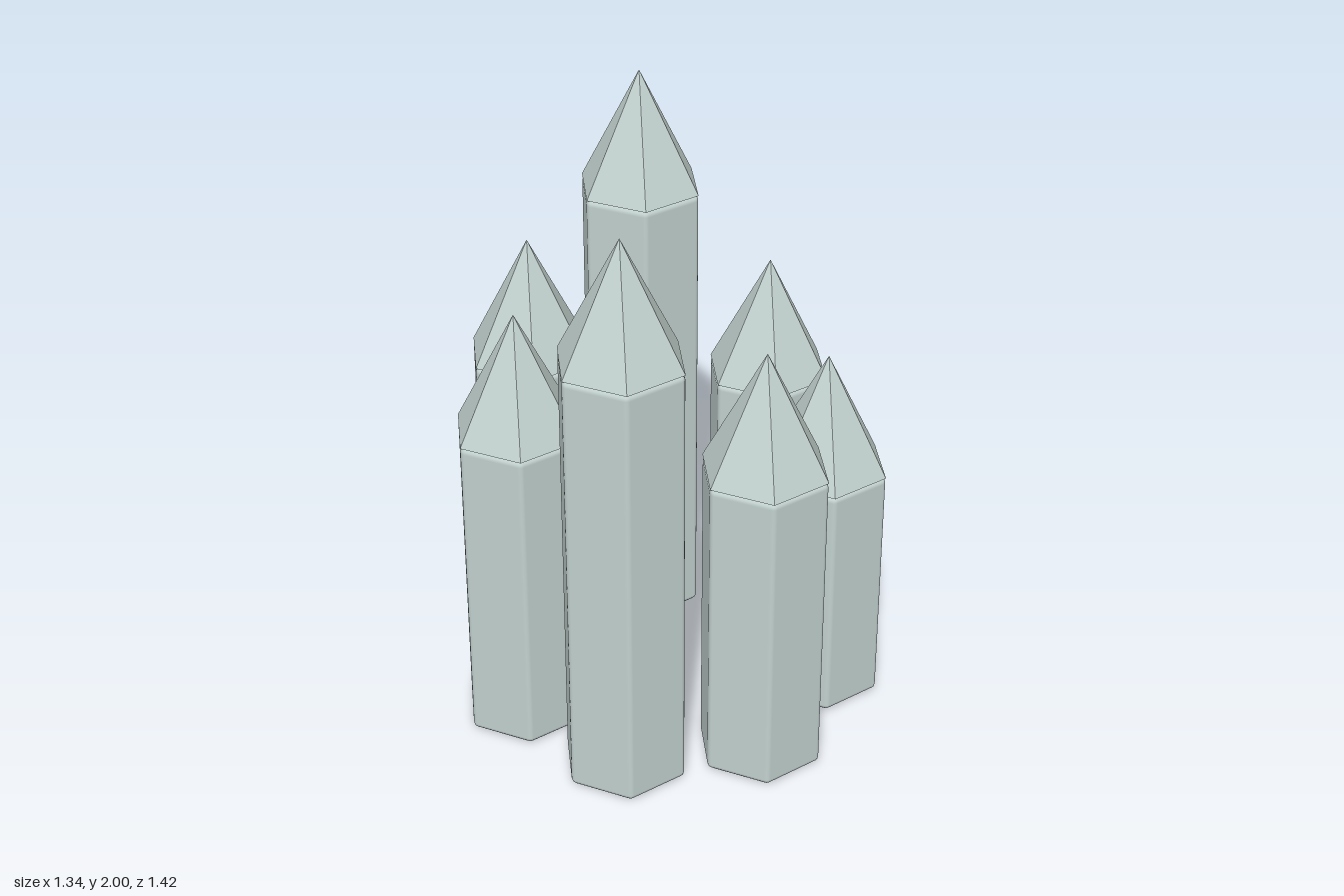
import * as THREE from 'three';

const RADIUS = 0.21;      // hexagon corner radius
const TIP_HEIGHT = 0.405;
const BEVEL = 0.02;       // rounding of the column edges
const RING = 0.512;

// Hexagonal prism with rounded edges, standing on y = 0
function roundedHexColumn(height) {
  const inner = (RADIUS * Math.cos(Math.PI / 6) - BEVEL) / Math.cos(Math.PI / 6);
  const pos = [], nor = [], idx = [];
  const steps = 3;
  const rings = [];
  for (let i = 0; i <= steps; i++) rings.push([BEVEL, -Math.PI / 2 + (i / steps) * Math.PI / 2]);
  for (let i = 0; i <= steps; i++) rings.push([height - BEVEL, (i / steps) * Math.PI / 2]);
  const n = 6 * (steps + 1);

  // Offset the inset corners along the rounding directions
  for (const [y, tilt] of rings) {
    for (let k = 0; k < 6; k++) {
      const corner = k * Math.PI / 3;
      for (let j = 0; j <= steps; j++) {
        const a = corner + (j / steps - 0.5) * Math.PI / 3;
        const d = [Math.sin(a) * Math.cos(tilt), Math.sin(tilt), Math.cos(a) * Math.cos(tilt)];
        pos.push(inner * Math.sin(corner) + BEVEL * d[0], y + BEVEL * d[1], inner * Math.cos(corner) + BEVEL * d[2]);
        nor.push(...d);
      }
    }
  }
  for (let r = 0; r < rings.length - 1; r++) {
    for (let i = 0; i < n; i++) {
      const a = r * n + i, b = r * n + (i + 1) % n;
      idx.push(a, b, b + n, a, b + n, a + n);
    }
  }
  // Flat bottom and top
  const last = (rings.length - 1) * n;
  pos.push(0, 0, 0, 0, height, 0);
  nor.push(0, -1, 0, 0, 1, 0);
  const bottom = last + n, top = bottom + 1;
  for (let i = 0; i < n; i++) {
    const next = (i + 1) % n;
    idx.push(bottom, next, i, top, last + i, last + next);
  }
  const g = new THREE.BufferGeometry();
  g.setAttribute('position', new THREE.Float32BufferAttribute(pos, 3));
  g.setAttribute('normal', new THREE.Float32BufferAttribute(nor, 3));
  g.setIndex(idx);
  return g;
}

// Six-sided pointed cap with flat facets, base on y = 0
function crystalTip() {
  const g = new THREE.ConeGeometry(RADIUS, TIP_HEIGHT, 6).toNonIndexed();
  g.computeVertexNormals();
  return g.translate(0, TIP_HEIGHT / 2, 0);
}

export function createModel() {
  const model = new THREE.Group();
  model.name = 'crystalCluster';
  const crystal = new THREE.MeshStandardMaterial({ color: 0xc2d1ce });
  crystal.name = 'paleCrystal';
  const tipGeometry = crystalTip();

  // Shoulder heights, going round the ring from +x towards +z
  const shoulders = [1.075, 1.5, 1.09, 1.12, 1.595, 0.975, 0.845];
  shoulders.forEach((height, i) => {
    const angle = i * Math.PI * 2 / shoulders.length;
    const spire = new THREE.Group();
    spire.name = `crystal${i + 1}`;
    const column = new THREE.Mesh(roundedHexColumn(height), crystal);
    column.name = 'column';
    const tip = new THREE.Mesh(tipGeometry, crystal);
    tip.name = 'tip';
    tip.position.y = height;
    spire.add(column, tip);
    spire.position.set(RING * Math.cos(angle) - 0.028, 0, RING * Math.sin(angle));
    model.add(spire);
  });
  return model;
}
